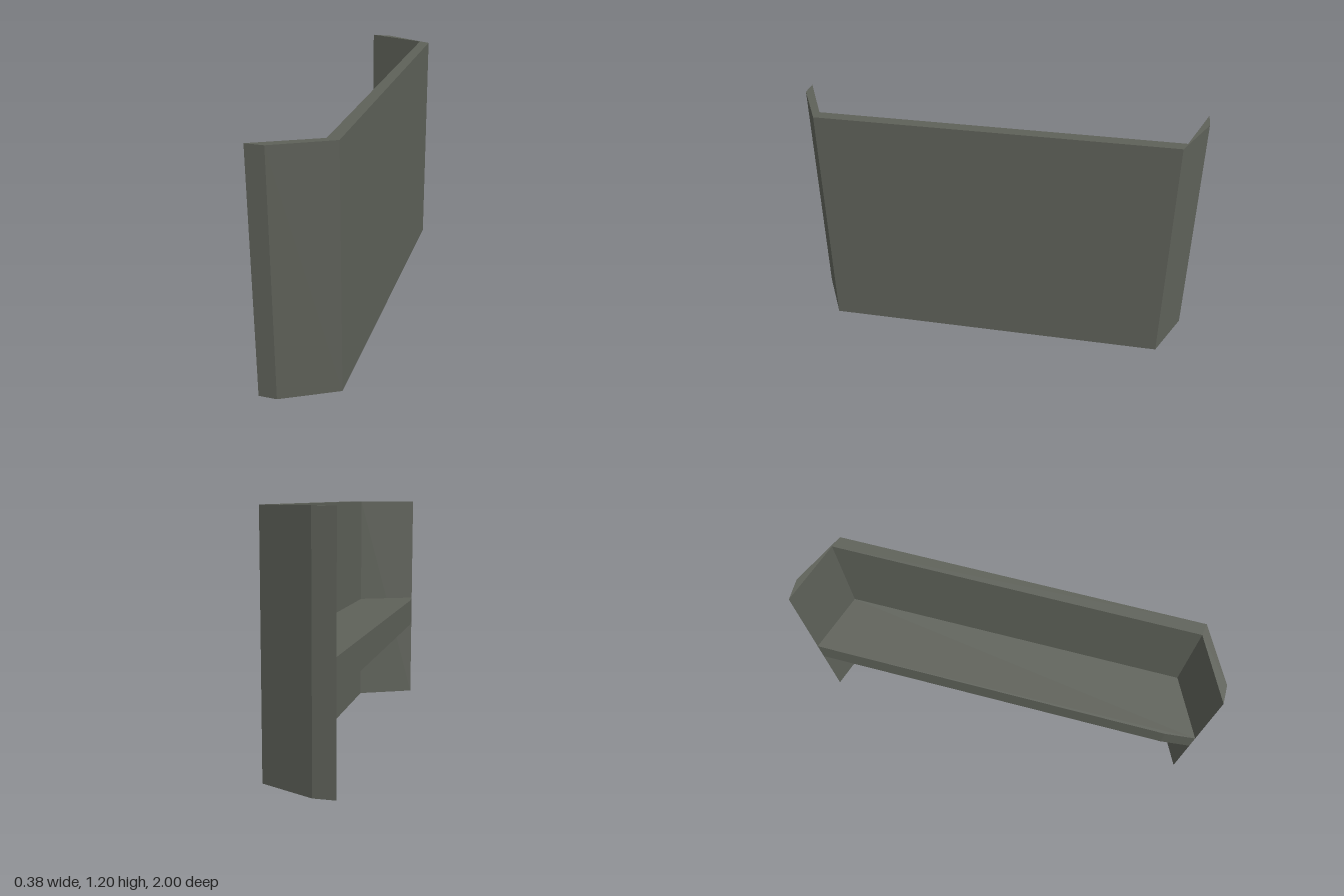
import * as THREE from 'three';

// Upright prism from a plan outline of [x, z] points
function prism(name, plan, y, height, material) {
  const shape = new THREE.Shape(plan.map(([x, z]) => new THREE.Vector2(x, -z)));
  const geometry = new THREE.ExtrudeGeometry(shape, { depth: height, bevelEnabled: false });
  geometry.rotateX(-Math.PI / 2);
  geometry.translate(0, y, 0);
  const mesh = new THREE.Mesh(geometry, material);
  mesh.name = name;
  return mesh;
}

export function createModel() {
  const model = new THREE.Group();
  model.name = 'shieldWall';
  const greyGreen = new THREE.MeshStandardMaterial({ color: 0x5e6159 });
  greyGreen.name = 'greyGreen';

  // Inner corners shared by the wall and the shelf
  const frontTip = [-0.16, 1], frontInner = [0.133, 0.85];
  const backInner = [0.118, -0.9], backTip = [-0.189, -1];

  // Wall with two angled wings that taper to their tips
  model.add(prism('wall', [
    frontTip, [-0.072, 1], [0.19, 0.86], [0.174, -0.88], [-0.085, -1],
    backTip, backInner, frontInner,
  ], 0, 1.2, greyGreen));

  // Shelf spanning between the wings
  model.add(prism('shelf', [
    frontTip, frontInner, backInner, backTip, [-0.176, 0.85],
  ], 0.45, 0.15, greyGreen));

  // Very slight lean
  model.rotation.z = 0.0035;
  return model;
}
